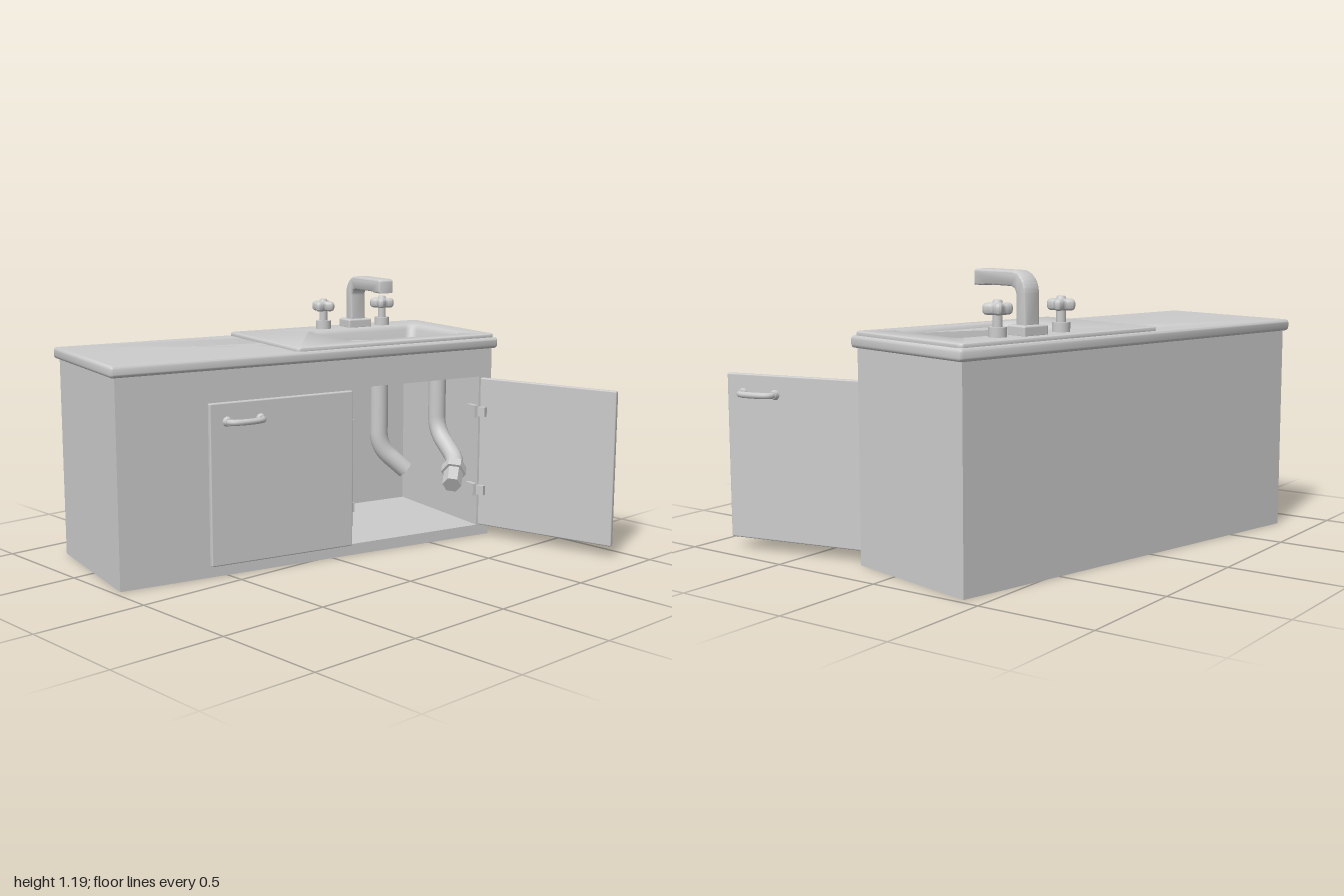
import * as THREE from 'three';
import { toCreasedNormals } from 'three/addons/utils/BufferGeometryUtils.js';
import { RoundedBoxGeometry } from 'three/addons/geometries/RoundedBoxGeometry.js';

const material = new THREE.MeshStandardMaterial({ color: 0xcccccc });

function add(parent, name, geometry, x = 0, y = 0, z = 0) {
  const mesh = new THREE.Mesh(geometry, material);
  mesh.name = name;
  mesh.position.set(x, y, z);
  parent.add(mesh);
  return mesh;
}

// Box given by its lower and upper limits
function addBox(parent, name, x0, x1, y0, y1, z0, z1) {
  return add(parent, name, new THREE.BoxGeometry(x1 - x0, y1 - y0, z1 - z0),
    (x0 + x1) / 2, (y0 + y1) / 2, (z0 + z1) / 2);
}

// Rounded rectangle on the ground plane, grown outwards by g
function roundRect([x0, x1, z0, z1], r, g = 0, Type = THREE.Shape) {
  const s = new Type(), h = Math.PI / 2;
  const a = x0 - g + r, b = x1 + g - r, c = z0 - g + r, d = z1 + g - r;
  s.absarc(b, d, r, 0, h);
  s.absarc(a, d, r, h, 2 * h);
  s.absarc(a, c, r, 2 * h, 3 * h);
  s.absarc(b, c, r, 3 * h, 4 * h);
  return s;
}

function extrude(shape, height, bevel) {
  const geometry = new THREE.ExtrudeGeometry(shape, {
    depth: height - 2 * bevel, bevelThickness: bevel, bevelSize: bevel,
    bevelOffset: -bevel, bevelSegments: 4, curveSegments: 10,
  });
  return toCreasedNormals(geometry.translate(0, 0, bevel), 0.6);
}

// Flat slab lying between two heights
function addSlab(parent, name, shape, y0, y1, bevel) {
  return add(parent, name, extrude(shape, y1 - y0, bevel).rotateX(Math.PI / 2), 0, y1, 0);
}

// Bowl lofted through shrinking rounded rectangles and closed at the centre
function basinGeometry(rect) {
  const levels = [[-0.007, 0.9465], [0.004, 0.942], [0.013, 0.925], [0.028, 0.87],
    [0.042, 0.82], [0.055, 0.803], [0.075, 0.795], [0.1, 0.793]];
  const positions = [], indices = [];
  let count = 0;
  for (const [inset, y] of levels) {
    const points = roundRect(rect, 0.04, -inset, THREE.Path).getPoints(6);
    count = points.length;
    for (const p of points) positions.push(p.x, y, p.y);
  }
  for (let j = 0; j < count; j++) positions.push((rect[0] + rect[1]) / 2, 0.792, (rect[2] + rect[3]) / 2);
  for (let i = 0; i < levels.length; i++) {
    for (let j = 0; j < count; j++) {
      const a = i * count + j, c = i * count + (j + 1) % count;
      indices.push(a, a + count, c, c, a + count, c + count);
    }
  }
  const geometry = new THREE.BufferGeometry();
  geometry.setAttribute('position', new THREE.Float32BufferAttribute(positions, 3));
  geometry.setIndex(indices);
  geometry.computeVertexNormals();
  return geometry;
}

// Door hinged on its own y axis, running along +z when closed
function addDoor(parent, name, x, z, angle) {
  const door = new THREE.Group();
  door.name = name;
  door.position.set(x, 0, z);
  door.rotation.y = angle;
  parent.add(door);
  add(door, 'doorPanel', new RoundedBoxGeometry(0.024, 0.695, 0.684, 2, 0.006), 0.012, 0.3975, 0.342);
  const path = new THREE.CatmullRomCurve3([[0.02, 0.45], [0.05, 0.45], [0.068, 0.475],
    [0.068, 0.58], [0.05, 0.605], [0.02, 0.605]].map(([px, pz]) => new THREE.Vector3(px, 0.665, pz)), false, 'centripetal');
  add(door, 'doorHandle', new THREE.TubeGeometry(path, 32, 0.013, 10));
  for (const pz of [0.45, 0.605]) {
    add(door, 'handleFoot', new THREE.CylinderGeometry(0.016, 0.022, 0.02, 14).rotateZ(-Math.PI / 2), 0.033, 0.665, pz);
  }
  for (const y of [0.22, 0.59]) addBox(door, 'hingeLeaf', -0.02, 0.002, y - 0.022, y + 0.022, 0.012, 0.05);
}

function addTap(parent, x, z, turn) {
  const tap = new THREE.Group();
  tap.name = 'tap';
  tap.position.set(x, 0.94, z);
  tap.rotation.y = turn;
  parent.add(tap);
  add(tap, 'tapBase', new THREE.CylinderGeometry(0.036, 0.036, 0.045, 20), 0, 0.0225, 0);
  add(tap, 'tapStem', new THREE.CylinderGeometry(0.019, 0.019, 0.06, 16), 0, 0.07, 0);
  // Four-lobed handle
  const outline = [];
  for (let i = 0; i < 48; i++) {
    const a = i / 48 * Math.PI * 2, r = 0.045 + 0.012 * Math.cos(4 * a);
    outline.push(new THREE.Vector2(r * Math.cos(a), r * Math.sin(a)));
  }
  add(tap, 'tapHandle', extrude(new THREE.Shape(outline), 0.046, 0.016).rotateX(Math.PI / 2), 0, 0.136, 0);
  add(tap, 'tapCap', new THREE.CylinderGeometry(0.016, 0.022, 0.012, 16), 0, 0.14, 0);
}

// Pipe with straight runs and softened bends
function addPipe(parent, name, coords, radius) {
  const p = coords.map(c => new THREE.Vector3(...c));
  const path = new THREE.CurvePath();
  let from = p[0];
  for (let i = 1; i < p.length - 1; i++) {
    const cut = Math.min(0.07, p[i].distanceTo(p[i - 1]) * 0.45, p[i].distanceTo(p[i + 1]) * 0.45);
    const toward = q => p[i].clone().add(q.clone().sub(p[i]).setLength(cut));
    const start = toward(p[i - 1]), end = toward(p[i + 1]);
    path.add(new THREE.LineCurve3(from, start));
    path.add(new THREE.QuadraticBezierCurve3(start, p[i], end));
    from = end;
  }
  const last = p[p.length - 1];
  path.add(new THREE.LineCurve3(from, last));
  add(parent, name, new THREE.TubeGeometry(path, 60, radius, 16));
  return { last, direction: last.clone().sub(p[p.length - 2]).normalize() };
}

// Faceted fitting centred at a distance along a pipe's end direction
function addFitting(parent, name, end, offset, length, r0, r1) {
  const geometry = toCreasedNormals(new THREE.CylinderGeometry(r1, r0, length, 6), 0.3);
  const mesh = add(parent, name, geometry);
  mesh.position.copy(end.last).addScaledVector(end.direction, offset);
  mesh.quaternion.setFromUnitVectors(new THREE.Vector3(0, 1, 0), end.direction);
}

export function createModel() {
  const root = new THREE.Group();
  root.name = 'sinkCabinet';
  const unit = new THREE.Group();
  unit.name = 'cabinetUnit';
  unit.position.set(-0.308, 0, 0);
  unit.rotation.y = -0.233;
  root.add(unit);

  // Cabinet: closed half, and an open compartment under the sink
  const X = 0.326, Z = 0.92;
  addBox(unit, 'closedCompartment', -X, X, 0, 0.885, -0.17, Z);
  addBox(unit, 'backPanel', -X, -0.31, 0, 0.885, -Z, -0.17);
  addBox(unit, 'endPanel', -0.31, X, 0, 0.885, -Z, -0.852);
  addBox(unit, 'cabinetFloor', -0.31, X, 0, 0.05, -0.852, -0.17);
  addBox(unit, 'compartmentCeiling', -0.31, X, 0.752, 0.765, -0.852, -0.17);
  addBox(unit, 'frontRail', 0.3, X, 0.765, 0.885, -0.852, -0.17);

  // Countertop, sink plate and basin
  const basin = [-0.165, 0.25, -0.81, -0.22];
  const top = roundRect([-0.345, 0.345, -0.942, 0.942], 0.012);
  top.holes.push(roundRect(basin, 0.04, 0.025, THREE.Path));
  addSlab(unit, 'countertop', top, 0.88, 0.93, 0.015);
  const plate = roundRect([-0.331, 0.331, -0.93, 0.098], 0.02);
  plate.holes.push(roundRect(basin, 0.04, 0, THREE.Path));
  addSlab(unit, 'sinkPlate', plate, 0.922, 0.947, 0.008);
  add(unit, 'basin', basinGeometry(basin));

  // Drain
  add(unit, 'drainRing', new THREE.TorusGeometry(0.054, 0.016, 10, 32).rotateX(Math.PI / 2), 0.02, 0.798, -0.53);
  add(unit, 'drainPlug', new THREE.CylinderGeometry(0.03, 0.04, 0.03, 24), 0.02, 0.805, -0.53);

  // Faucet
  add(unit, 'faucetBase', new RoundedBoxGeometry(0.1, 0.045, 0.125, 3, 0.008), -0.237, 0.9635, -0.525);
  const spout = new THREE.Shape();
  spout.moveTo(-0.209, 0.96);
  spout.lineTo(-0.209, 1.09);
  spout.quadraticCurveTo(-0.209, 1.13, -0.17, 1.13);
  spout.lineTo(-0.03, 1.13);
  spout.lineTo(-0.015, 1.126);
  spout.lineTo(0.041, 1.126);
  spout.lineTo(0.041, 1.175);
  spout.quadraticCurveTo(0.041, 1.19, 0.02, 1.19);
  spout.lineTo(-0.18, 1.19);
  spout.absarc(-0.18, 1.106, 0.084, Math.PI / 2, Math.PI, false);
  spout.lineTo(-0.264, 0.96);
  add(unit, 'faucetSpout', extrude(spout, 0.076, 0.01), 0, 0, -0.563);
  addTap(unit, -0.23, -0.345, 0.55);
  addTap(unit, -0.23, -0.67, 0.95);

  // Doors and the hinge blocks on the frame
  addDoor(unit, 'closedDoor', X, -0.165, 0);
  addDoor(unit, 'openDoor', 0.312, -0.856, 2.0);
  for (const y of [0.22, 0.59]) {
    addBox(unit, 'hingeBlock', 0.265, 0.325, y - 0.028, y + 0.028, -0.855, -0.83);
    addBox(unit, 'hingeBlock', 0.275, 0.335, y - 0.022, y + 0.022, -0.183, -0.165);
  }

  // Disconnected pipes below the sink
  const drain = addPipe(root, 'shortPipe', [[0.02, 0.757, -0.29], [0.02, 0.46, -0.29], [0.1, 0.355, -0.38]], 0.04);
  addFitting(root, 'shortPipeEnd', drain, -0.008, 0.02, 0.039, 0.039);
  const waste = addPipe(root, 'wastePipe', [[0.06, 0.757, -0.63], [0.06, 0.5, -0.63],
    [0.2, 0.385, -0.605], [0.245, 0.345, -0.545]], 0.04);
  addFitting(root, 'pipeNut', waste, -0.012, 0.045, 0.056, 0.056);
  addFitting(root, 'pipeThread', waste, 0.05, 0.09, 0.044, 0.042);
  return root;
}
